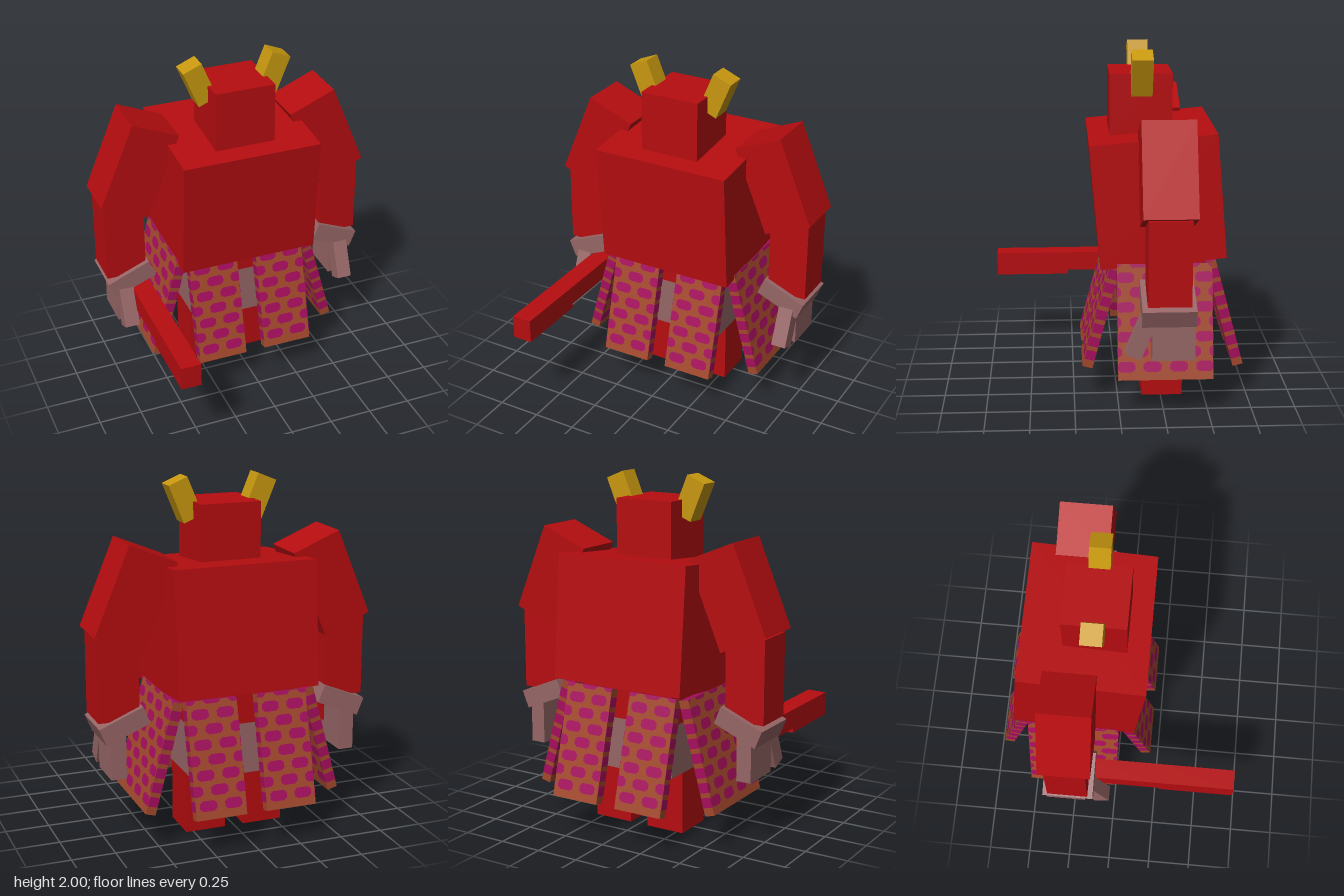
import * as THREE from 'three';

const mat = (name, color, extra = {}) => Object.assign(new THREE.MeshStandardMaterial({ color, ...extra }), { name });

export function createModel() {
  const red = mat('red armour', 0xb60d10);
  const grey = mat('dusty skin', 0x976666);
  const gold = mat('gold horn', 0xc8980f);
  const brown = mat('brown cloth', 0xa3482c);
  const magenta = mat('magenta pattern', 0xa60e5e);

  const root = new THREE.Group();
  const Z = -0.257; // depth of the body axis

  const box = (name, size, pos, material, rot = [0, 0, 0], parent = root) => {
    const mesh = new THREE.Mesh(new THREE.BoxGeometry(...size), material);
    mesh.name = name;
    mesh.position.set(...pos);
    mesh.rotation.set(...rot);
    parent.add(mesh);
    return mesh;
  };

  // Torso, head and hips
  box('torso', [0.82, 0.706, 0.706], [0, 1.184, -0.222], red, [0.087, 0, 0]);
  box('head', [0.354, 0.36, 0.35], [0, 1.682, -0.137], red);
  box('waist', [0.59, 0.21, 0.47], [0, 0.76, Z], red);
  box('hips', [0.59, 0.295, 0.47], [0, 0.508, Z], grey);

  // Mirrored limbs and horns
  const tilt = Math.PI / 8;
  for (const s of [1, -1]) {
    const side = s > 0 ? 'left' : 'right';
    box(side + 'Horn', [0.117, 0.23, 0.117], [s * 0.22, 1.872, -0.138], gold, [0, 0, -s * tilt]);
    box(side + 'UpperArm', [0.294, 0.528, 0.294], [s * 0.577, 1.387, Z], red, [0, 0, s * tilt]);
    box(side + 'Forearm', [0.235, 0.471, 0.235], [s * 0.677, 0.947, Z], red);
    box(side + 'Palm', [0.272, 0.107, 0.294], [s * 0.653, 0.688, Z], grey, [0, 0, -s * tilt]);
    box(side + 'Fingers', [0.088, 0.27, 0.235], [s * 0.692, 0.521, -0.285], grey);
    box(side + 'Thumb', [0.088, 0.24, 0.09], [s * 0.692, 0.518, -0.109], grey, [-tilt, 0, 0]);
    box(side + 'Leg', [0.235, 0.45, 0.235], [s * 0.174, 0.225, Z], red);
  }

  // Club held in the right hand
  box('clubHandle', [0.117, 0.115, 0.475], [-0.593, 0.563, 0.038], red);
  box('clubHead', [0.117, 0.14, 0.44], [-0.593, 0.55, 0.495], red);

  // Skirt panels with a spotted pattern
  const H = 0.648, T = 0.059, ROW = 0.083, STEP = 0.147;
  const rowY = (k) => -H / 2 + 0.075 + k * ROW;

  const spotGeometry = (w) => {
    const shapes = [];
    const outline = [[-0.05, -0.014], [-0.032, -0.029], [0.032, -0.029], [0.05, -0.014],
      [0.05, 0.014], [0.032, 0.029], [-0.032, 0.029], [-0.05, 0.014]];
    const clamp = THREE.MathUtils.clamp;
    for (let k = 0; k < 8; k++) {
      for (let i = -3; i <= 3; i++) {
        const cx = (i + (k % 2 ? 0 : 0.5)) * STEP;
        if (Math.abs(cx) - 0.045 > w / 2) continue;
        shapes.push(new THREE.Shape(outline.map(([x, y]) => new THREE.Vector2(
          clamp(cx + x, -w / 2, w / 2), clamp(rowY(k) + y, -H / 2, H / 2)))));
      }
    }
    return new THREE.ShapeGeometry(shapes);
  };

  const panel = (name, w, offset, dist, turn) => {
    const pivot = new THREE.Group();
    pivot.name = name;
    pivot.position.set(0, 0.516, Z);
    pivot.rotation.y = turn;
    const flap = new THREE.Group();
    flap.name = name + 'Flap';
    flap.position.set(offset, 0, dist);
    flap.rotation.x = -Math.PI / 12;
    pivot.add(flap);
    root.add(pivot);
    box('cloth', [w, H, T], [0, 0, 0], [brown, brown, magenta, magenta, brown, brown], [0, 0, 0], flap);
    // Spots on both faces
    const geometry = spotGeometry(w);
    for (const s of [1, -1]) {
      const spots = new THREE.Mesh(geometry, magenta);
      spots.name = 'spots';
      spots.position.z = s * (T / 2 + 0.002);
      spots.rotation.y = s > 0 ? 0 : Math.PI;
      flap.add(spots);
      // Dashes down each edge
      for (let k = 0; k < 7; k++) {
        box('edgeDash', [0.004, 0.056, T], [s * w / 2, rowY(k), 0], magenta, [0, 0, 0], flap);
      }
    }
  };

  for (const s of [1, -1]) {
    const side = s > 0 ? 'left' : 'right';
    panel(side + 'FrontPanel', 0.294, s * 0.207, 0.348, 0);
    panel(side + 'BackPanel', 0.294, -s * 0.207, 0.348, Math.PI);
    panel(side + 'SidePanel', 0.53, 0, 0.469, s * Math.PI / 2);
  }
  return root;
}
